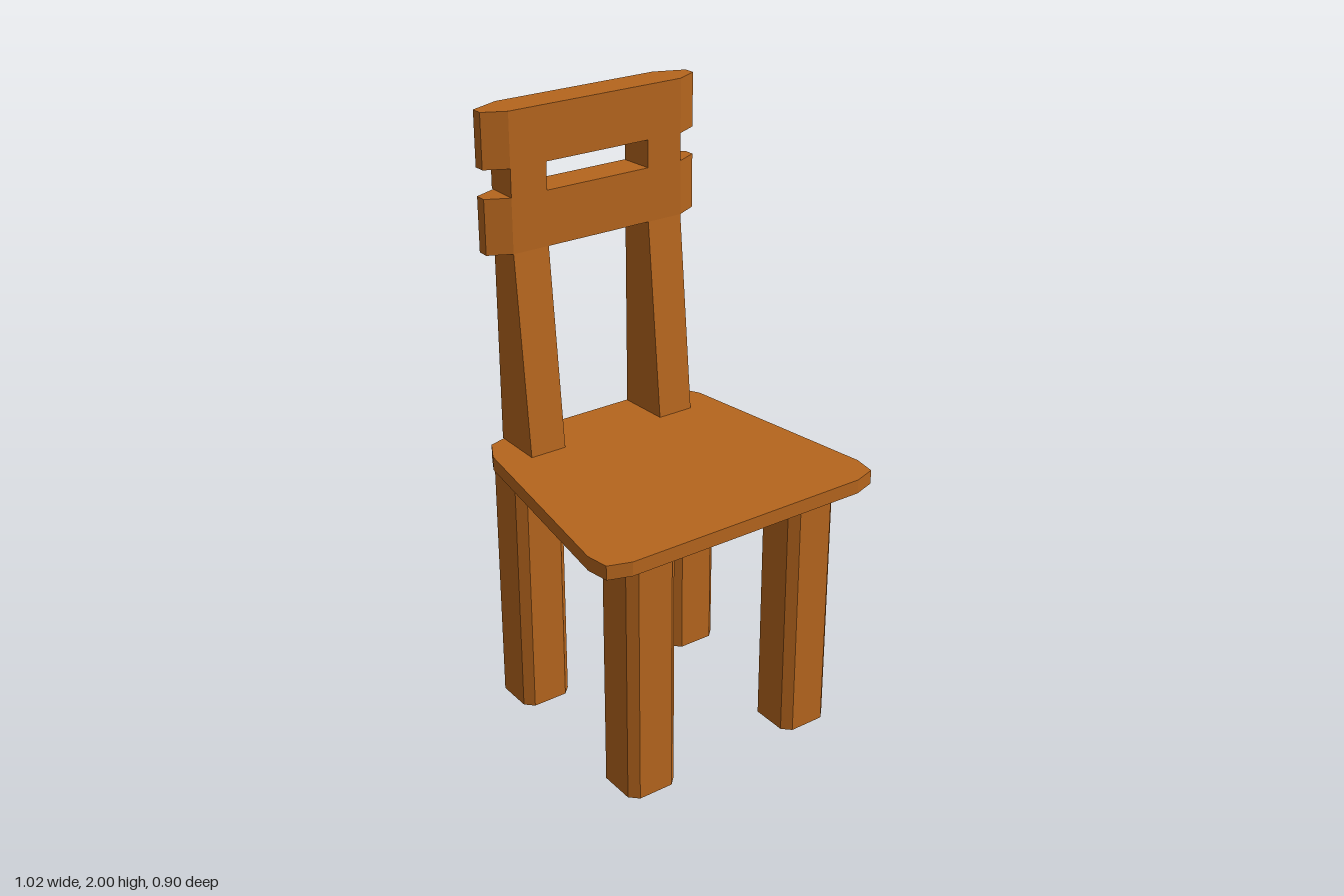
import * as THREE from 'three';

const wood = new THREE.MeshStandardMaterial({ color: 0xb5651d });
wood.name = 'wood';

// Upright prism from a plan outline of [x, z] points
function prism(name, outline, y0, y1) {
  const shape = new THREE.Shape(outline.map(([x, z]) => new THREE.Vector2(x, -z)));
  const geo = new THREE.ExtrudeGeometry(shape, { depth: y1 - y0, bevelEnabled: false });
  geo.rotateX(-Math.PI / 2).translate(0, y0, 0);
  const mesh = new THREE.Mesh(geo, wood);
  mesh.name = name;
  return mesh;
}

// Complete an outline from its +x half, listed from front to back
const mirrored = (half) => [...half, ...half.map(([x, z]) => [-x, z]).reverse()];

export function createModel() {
  const chair = new THREE.Group();
  chair.name = 'chair';

  // Four square legs with chamfered corners
  const h = 0.0875, c = 0.06;
  const octagon = [[c, h], [h, c], [h, -c], [c, -h], [-c, -h], [-h, -c], [-h, c], [-c, h]];
  for (const x of [-0.31, 0.3]) {
    for (const z of [0.31, -0.3]) {
      const name = (z > 0 ? 'front' : 'back') + (x > 0 ? 'Left' : 'Right') + 'Leg';
      chair.add(prism(name, octagon.map(([px, pz]) => [px + x, pz + z]), 0, 0.845));
    }
  }

  // Seat, wider at the front, with clipped corners
  chair.add(prism('seat', mirrored([
    [0.425, 0.448], [0.5, 0.423], [0.512, 0.347],
    [0.41, -0.347], [0.37, -0.423], [0.29, -0.448],
  ]), 0.845, 0.892));

  // Back rails
  const rail = mirrored([[0.313, -0.333], [0.387, -0.37], [0.387, -0.408], [0.287, -0.448]]);
  chair.add(prism('lowerRail', rail, 1.557, 1.735));
  chair.add(prism('topRail', rail, 1.825, 2));

  // Back posts: leaning front face below the rails, short straight piece between them
  for (const s of [-1, 1]) {
    const side = s > 0 ? 'left' : 'right';
    const plan = [[0.187, -0.333], [0.313, -0.333], [0.313, -0.446], [0.177, -0.446]]
      .map(([x, z]) => [x * s, z]);
    const post = prism(side + 'BackPost', plan, 0.892, 1.557);
    const p = post.geometry.attributes.position;
    for (let i = 0; i < p.count; i++) {
      if (p.getY(i) < 1 && p.getZ(i) > -0.4) p.setZ(i, -0.27);
    }
    post.geometry.computeVertexNormals();
    chair.add(post, prism(side + 'PostSpacer', plan, 1.735, 1.825));
  }

  return chair;
}
